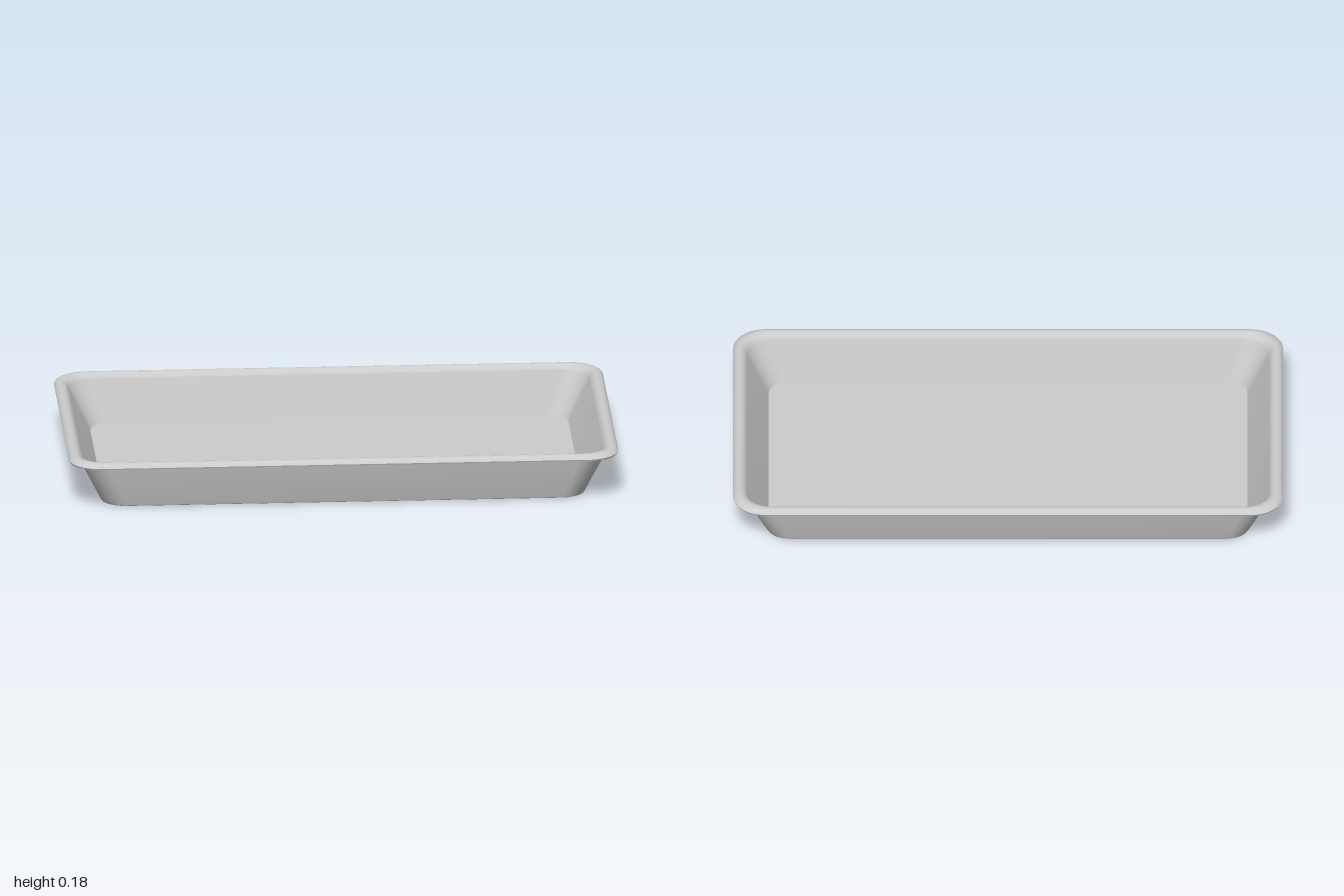
import * as THREE from 'three';
import { toCreasedNormals } from 'three/addons/utils/BufferGeometryUtils.js';

const CORNER_STEPS = 12;

// Rounded rectangle loop: half length a, half depth b, corner radius r, height y
function ring([a, b, r, y]) {
  const points = [];
  for (let corner = 0; corner < 4; corner++) {
    const sx = corner === 0 || corner === 3 ? 1 : -1;
    const sz = corner < 2 ? 1 : -1;
    for (let i = 0; i <= CORNER_STEPS; i++) {
      const t = (corner + i / CORNER_STEPS) * Math.PI / 2;
      points.push([sx * (a - r) + r * Math.cos(t), y, sz * (b - r) + r * Math.sin(t)]);
    }
  }
  return points;
}

// Skin a sequence of loops; a loop of zero size closes the surface at its centre
function skin(name, sections, material) {
  const loops = sections.map(ring);
  const position = [];
  for (let i = 0; i < loops.length - 1; i++) {
    const p = loops[i], q = loops[i + 1], n = p.length;
    for (let j = 0; j < n; j++) {
      const k = (j + 1) % n;
      if (sections[i + 1][0] > 0) position.push(...p[j], ...q[j], ...q[k]);
      if (sections[i][0] > 0) position.push(...p[j], ...q[k], ...p[k]);
    }
  }
  const geometry = new THREE.BufferGeometry();
  geometry.setAttribute('position', new THREE.Float32BufferAttribute(position, 3));
  const mesh = new THREE.Mesh(toCreasedNormals(geometry, 0.7), material);
  mesh.name = name;
  return mesh;
}

export function createModel() {
  const material = new THREE.MeshStandardMaterial({ color: 0xcccccc, side: THREE.DoubleSide });
  const tray = new THREE.Group();
  tray.name = 'tray';

  // Flat underside and sloping outer walls
  const outerShell = [
    [0, 0, 0, 0],
    [0.850, 0.463, 0.080, 0],
    [0.857, 0.470, 0.085, 0.003],
    [0.861, 0.473, 0.087, 0.010],
    [0.936, 0.512, 0.100, 0.163],
  ];

  // Rolled lip, from its underside over the crest to the inner wall
  const rim = [
    [0.936, 0.512, 0.100, 0.163],
    [0.941, 0.517, 0.101, 0.168],
    [0.962, 0.535, 0.107, 0.165],
    [0.967, 0.540, 0.109, 0.160],
    [0.972, 0.545, 0.110, 0.161],
    [0.974, 0.547, 0.110, 0.166],
    [0.970, 0.543, 0.109, 0.173],
    [0.962, 0.536, 0.107, 0.179],
    [0.951, 0.526, 0.104, 0.182],
    [0.940, 0.516, 0.101, 0.180],
    [0.931, 0.508, 0.099, 0.173],
    [0.925, 0.502, 0.097, 0.163],
  ];

  // Sloping inner walls and flat floor
  const innerShell = [
    [0.925, 0.502, 0.097, 0.163],
    [0.848, 0.455, 0.077, 0.010],
    [0, 0, 0, 0.010],
  ];

  tray.add(
    skin('outerShell', outerShell, material),
    skin('rim', rim, material),
    skin('innerShell', innerShell, material),
  );

  // The tray sits slightly turned
  tray.rotation.y = 0.06;
  const model = new THREE.Group();
  model.name = 'bakingTray';
  model.add(tray);
  return model;
}
